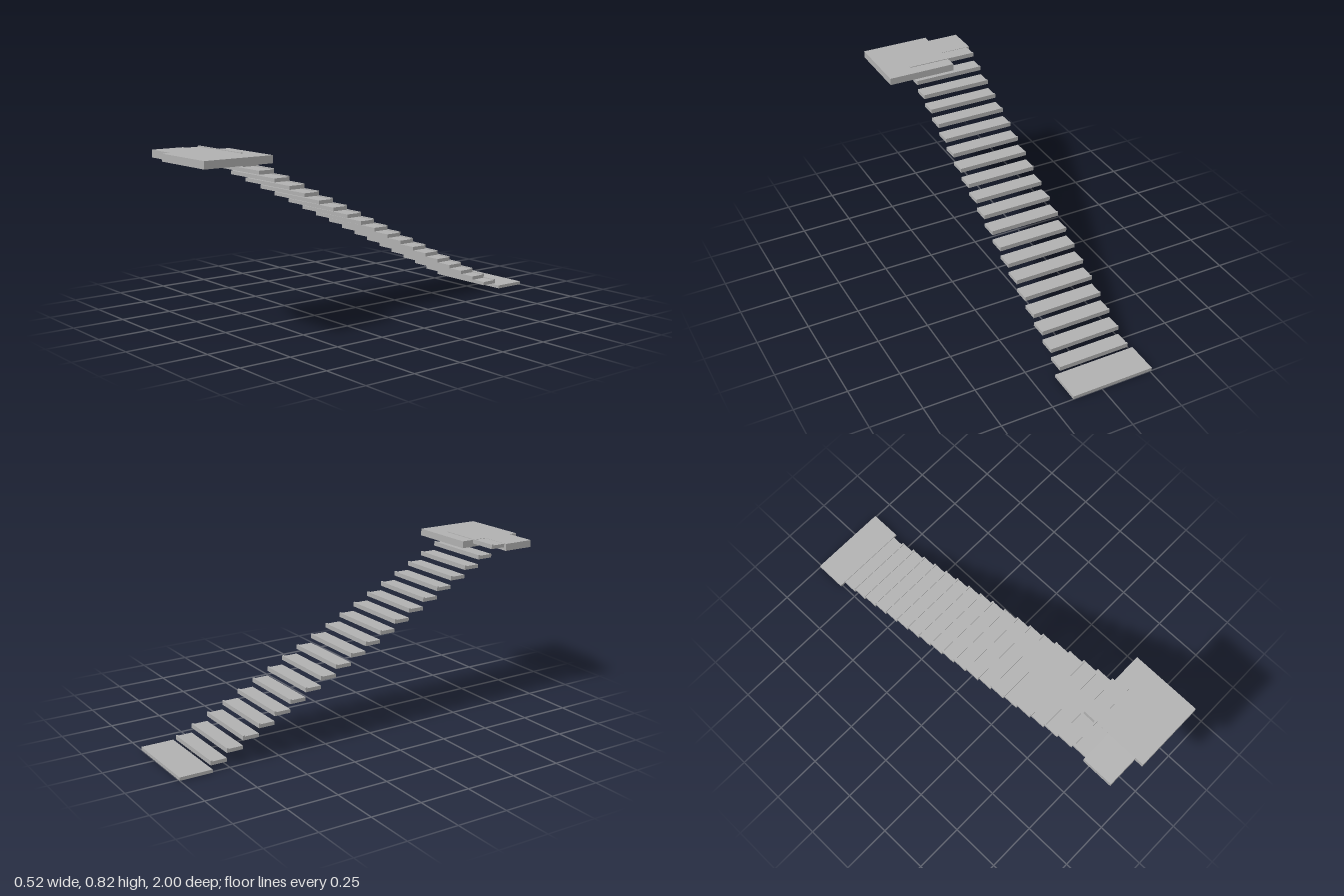
import * as THREE from 'three';

const STEPS = 20, RISE = 0.0409, GOING = 0.082;
const STAIR_LEFT = 0.12, STAIR_WIDTH = 0.355;

export function createModel() {
  const concrete = new THREE.MeshStandardMaterial({ color: 0xb0b0b0 });
  concrete.name = 'concrete grey';
  const model = new THREE.Group();
  model.name = 'staircase';

  const add = (name, geometry, parent = model) => {
    const mesh = new THREE.Mesh(geometry, concrete);
    mesh.name = name;
    parent.add(mesh);
    return mesh;
  };

  // Box given by its limits on each axis
  const slab = (name, x0, x1, y0, y1, z0, z1) =>
    add(name, new THREE.BoxGeometry(x1 - x0, y1 - y0, z1 - z0))
      .position.set((x0 + x1) / 2, (y0 + y1) / 2, (z0 + z1) / 2);

  // Tread section (z, y): flat slab with a small raised nosing on its lower edge
  const section = new THREE.Shape([
    [0, 0], [0.081, 0], [0.081, 0.0175], [0.009, 0.0175], [0.009, 0.022], [0, 0.022],
  ].map(([z, y]) => new THREE.Vector2(z, y)));
  const tread = new THREE.ExtrudeGeometry(section, { depth: STAIR_WIDTH, bevelEnabled: false });
  tread.rotateY(-Math.PI / 2).translate(STAIR_LEFT, 0, 0);

  // Flight of floating treads; the last one is let into the upper landing
  const flight = new THREE.Group();
  flight.name = 'flight';
  model.add(flight);
  for (let i = 0; i < STEPS; i++) {
    add('tread' + (i + 1), tread, flight)
      .position.set(0, 0.024 + i * RISE, -0.837 + i * GOING);
  }

  // Landings
  slab('lowerLanding', -0.26, 0.146, 0, 0.0155, -1, -0.84);
  slab('upperLanding', -0.09, 0.257, 0.785, 0.82, 0.657, 1);
  slab('upperLandingWing', -0.249, -0.09, 0.785, 0.82, 0.8, 0.958);

  return model;
}
